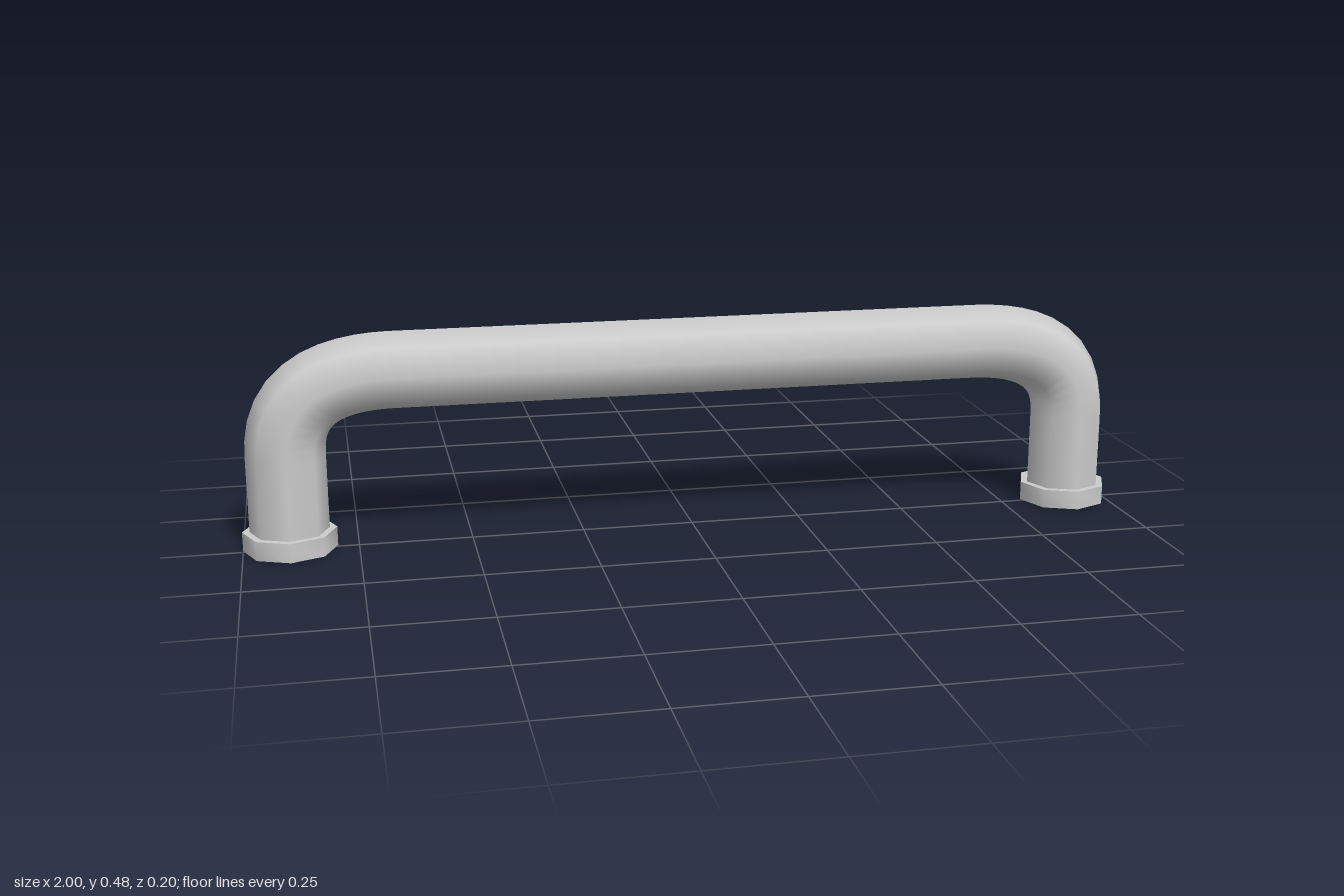
import * as THREE from 'three';
import { toCreasedNormals } from 'three/addons/utils/BufferGeometryUtils.js';

const LEG_X = 0.898, BAR_Y = 0.393, TUBE_R = 0.086;
const BEND_X = 0.66, BEND_Y = 0.22; // where the bends meet the straights
const material = new THREE.MeshStandardMaterial({ color: 0xcccccc, side: THREE.DoubleSide });

// Centre line: leg, bend, bar, bend, leg
function handlePath() {
  const p = (x, y) => new THREE.Vector3(x, y, 0);
  const path = new THREE.CurvePath();
  path.add(new THREE.LineCurve3(p(-LEG_X, 0), p(-LEG_X, BEND_Y)));
  path.add(new THREE.QuadraticBezierCurve3(p(-LEG_X, BEND_Y), p(-LEG_X, BAR_Y), p(-BEND_X, BAR_Y)));
  path.add(new THREE.LineCurve3(p(-BEND_X, BAR_Y), p(BEND_X, BAR_Y)));
  path.add(new THREE.QuadraticBezierCurve3(p(BEND_X, BAR_Y), p(LEG_X, BAR_Y), p(LEG_X, BEND_Y)));
  path.add(new THREE.LineCurve3(p(LEG_X, BEND_Y), p(LEG_X, 0)));
  return path;
}

export function createModel() {
  const model = new THREE.Group();
  model.name = 'pullHandle';

  // Open-ended eight-sided tube
  const bar = new THREE.Mesh(new THREE.TubeGeometry(handlePath(), 80, TUBE_R, 8, false), material);
  bar.name = 'handleTube';
  model.add(bar);

  // Octagonal ring around the foot of each leg
  const profile = [[TUBE_R, 0.003], [0.102, 0.003], [0.102, 0.046], [TUBE_R, 0.046]]
    .map(([r, y]) => new THREE.Vector2(r, y));
  const collarGeometry = toCreasedNormals(new THREE.LatheGeometry(profile, 8), 0.9);
  for (const side of [-1, 1]) {
    const collar = new THREE.Mesh(collarGeometry, material);
    collar.name = side > 0 ? 'leftCollar' : 'rightCollar';
    collar.position.x = side * LEG_X;
    model.add(collar);
  }
  return model;
}
